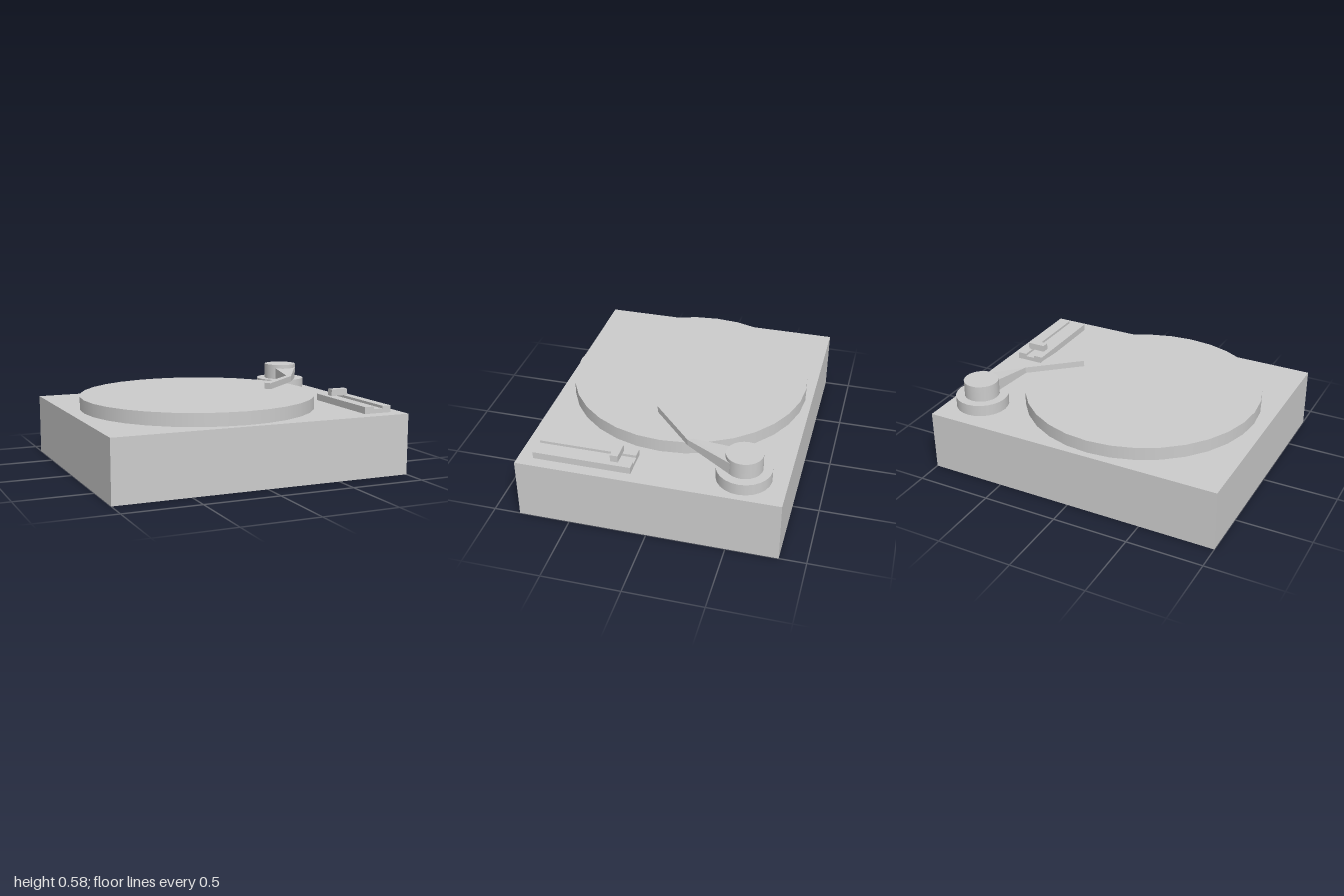
import * as THREE from 'three';

const material = new THREE.MeshStandardMaterial({ color: 0xcccccc });
const flatMaterial = new THREE.MeshStandardMaterial({ color: 0xcccccc, flatShading: true });

function add(parent, name, geometry, mat = material) {
  const mesh = new THREE.Mesh(geometry, mat);
  mesh.name = name;
  parent.add(mesh);
  return mesh;
}

// Box given by its extents on each axis
function box(parent, name, [x0, x1], [y0, y1], [z0, z1]) {
  const mesh = add(parent, name, new THREE.BoxGeometry(x1 - x0, y1 - y0, z1 - z0));
  mesh.position.set((x0 + x1) / 2, (y0 + y1) / 2, (z0 + z1) / 2);
}

// Upright disc between two heights
function disc(parent, name, radius, y0, y1, x, z, sides) {
  const mesh = add(parent, name, new THREE.CylinderGeometry(radius, radius, y1 - y0, sides));
  mesh.position.set(x, (y0 + y1) / 2, z);
}

// Bent bar through four-cornered sections: left point, right point, bottom, top
function barGeometry(sections) {
  const positions = [];
  const index = [];
  for (const { left, right, bottom, top } of sections) {
    positions.push(left[0], bottom, left[1], right[0], bottom, right[1]);
    positions.push(right[0], top, right[1], left[0], top, left[1]);
  }
  const quad = (a, b, c, d) => index.push(a, b, c, a, c, d);
  for (let s = 0; s < sections.length - 1; s++) {
    for (let i = 0; i < 4; i++) {
      const j = (i + 1) % 4;
      quad(s * 4 + i, s * 4 + j, s * 4 + 4 + j, s * 4 + 4 + i);
    }
  }
  const e = (sections.length - 1) * 4;
  quad(3, 2, 1, 0);
  quad(e, e + 1, e + 2, e + 3);
  const geometry = new THREE.BufferGeometry();
  geometry.setAttribute('position', new THREE.Float32BufferAttribute(positions, 3));
  geometry.setIndex(index);
  const flat = geometry.toNonIndexed();
  flat.computeVertexNormals();
  return flat;
}

export function createModel() {
  const model = new THREE.Group();
  model.name = 'turntable';

  // Body and platter
  box(model, 'body', [-1, 1], [0, 0.4], [-0.83, 0.83]);
  disc(model, 'platter', 0.785, 0.4, 0.485, -0.125, 0, 32);

  // Tonearm on its round pivot
  const tonearm = new THREE.Group();
  tonearm.name = 'tonearm';
  model.add(tonearm);
  disc(tonearm, 'pivotBase', 0.172, 0.4, 0.475, 0.783, -0.56, 24);
  disc(tonearm, 'pivotCap', 0.114, 0.475, 0.58, 0.783, -0.56, 24);
  add(tonearm, 'arm', barGeometry([
    { left: [0.709, -0.49], right: [0.87, -0.485], bottom: 0.476, top: 0.555 },
    { left: [0.66, -0.217], right: [0.68, -0.182], bottom: 0.494, top: 0.535 },
    { left: [0.355, 0.05], right: [0.38, 0.092], bottom: 0.494, top: 0.535 },
  ]), flatMaterial);

  // Pitch slider: two rails beside a groove, with a sliding knob
  const slider = new THREE.Group();
  slider.name = 'pitchSlider';
  model.add(slider);
  const length = [0.11, 0.735];
  box(slider, 'leftRail', [0.865, 0.926], [0.4, 0.445], length);
  box(slider, 'rightRail', [0.734, 0.8], [0.4, 0.445], length);
  box(slider, 'grooveFloor', [0.8, 0.865], [0.4, 0.428], length);
  box(slider, 'sliderKnob', [0.77, 0.892], [0.445, 0.49], [0.197, 0.247]);

  return model;
}
